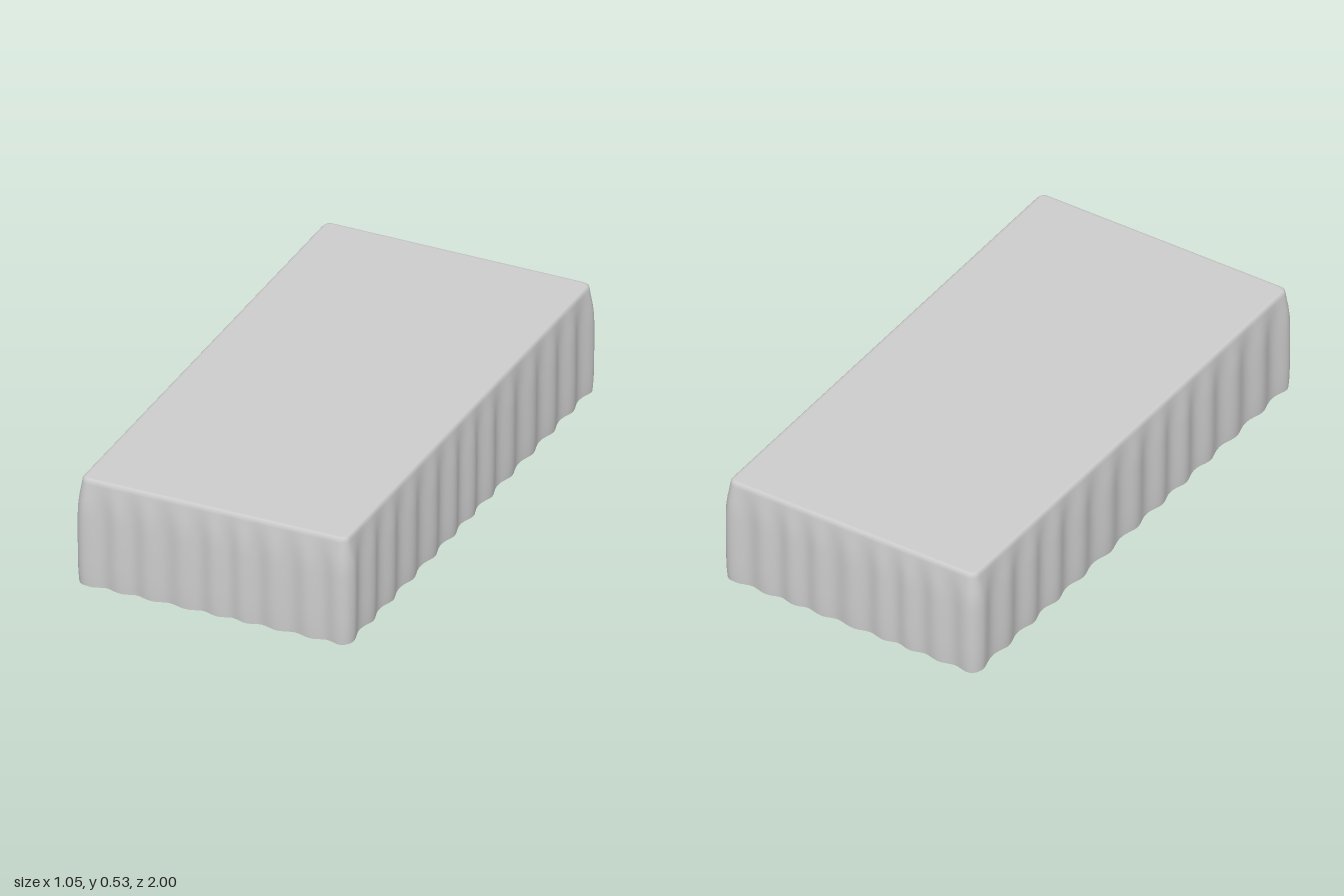
import * as THREE from 'three';

const HALF_X = 0.5, HALF_Z = 0.98, CORNER = 0.025;

function createMaterial(side = THREE.FrontSide) {
  return new THREE.MeshStandardMaterial({ color: 0xcccccc, side });
}

// Rounded rectangle outline: position, outward normal and fold value (-1..1) per point
function clothOutline() {
  const points = [];
  const sides = [
    { angle: 0, half: HALF_Z, depth: HALF_X, folds: 12, amp: 0.009 },
    { angle: Math.PI / 2, half: HALF_X, depth: HALF_Z, folds: 8, amp: 0.006 },
    { angle: Math.PI, half: HALF_Z, depth: HALF_X, folds: 12, amp: 0.009 },
    { angle: Math.PI * 1.5, half: HALF_X, depth: HALF_Z, folds: 8, amp: 0.006 },
  ];
  sides.forEach(({ angle, half, depth, folds, amp }, s) => {
    const nx = Math.cos(angle), nz = Math.sin(angle);
    const run = half - CORNER, steps = folds * 12;
    for (let i = 0; i <= steps; i++) {
      const t = i / steps, along = (t * 2 - 1) * run;
      // slightly uneven spacing keeps the pleats from looking mechanical
      const phase = t * folds * Math.PI * 2 + 0.5 * Math.sin(t * Math.PI * 4 + s) * Math.sin(t * Math.PI);
      points.push({
        x: nx * depth - nz * along, z: nz * depth + nx * along,
        nx, nz, fold: amp * Math.cos(phase), phase,
      });
    }
    // corner arc up to the next side
    const px = nx * (depth - CORNER) - nz * run, pz = nz * (depth - CORNER) + nx * run;
    for (let i = 1; i < 6; i++) {
      const a = angle + (i / 6) * Math.PI / 2;
      const cx = Math.cos(a), cz = Math.sin(a);
      points.push({
        x: px + cx * CORNER, z: pz + cz * CORNER,
        nx: cx, nz: cz, fold: 0.007, phase: 0,
      });
    }
  });
  return points;
}

// Draped cloth: flat top, soft rim and pleated skirt with a wavy hem
function createCloth() {
  // outset, height, fold strength
  const rings = [
    [-0.012, 0.53, 0], [-0.003, 0.529, 0], [0.003, 0.523, 0], [0.005, 0.512, 0.05],
    [0.008, 0.485, 0.25], [0.011, 0.455, 0.6], [0.013, 0.42, 0.9], [0.014, 0.38, 1],
    [0.014, 0.3, 1], [0.013, 0.22, 1], [0.012, 0.16, 0.95], [0.009, 0.118, 0.85],
  ];
  const outline = clothOutline(), n = outline.length;
  const positions = [0, 0.53, 0], index = [];
  rings.forEach(([outset, height, strength], r) => {
    outline.forEach((p) => {
      const d = outset + p.fold * strength;
      const hem = r === rings.length - 1 ? 0.003 * Math.sin(p.phase) : 0;
      positions.push(p.x + p.nx * d, height + hem, p.z + p.nz * d);
    });
  });
  for (let i = 0; i < n; i++) {
    const j = (i + 1) % n;
    index.push(0, 1 + j, 1 + i);
    for (let r = 0; r < rings.length - 1; r++) {
      const a = 1 + r * n, b = a + n;
      index.push(a + i, a + j, b + i, a + j, b + j, b + i);
    }
  }
  const geometry = new THREE.BufferGeometry();
  geometry.setAttribute('position', new THREE.Float32BufferAttribute(positions, 3));
  geometry.setIndex(index);
  geometry.computeVertexNormals();
  return geometry;
}

// Table board with rounded corners
function createBoard(bottom, top) {
  const x = HALF_X - 0.01, z = HALF_Z - 0.01, r = 0.06;
  const shape = new THREE.Shape();
  shape.absarc(x - r, z - r, r, 0, Math.PI / 2);
  shape.absarc(-x + r, z - r, r, Math.PI / 2, Math.PI);
  shape.absarc(-x + r, -z + r, r, Math.PI, Math.PI * 1.5);
  shape.absarc(x - r, -z + r, r, Math.PI * 1.5, Math.PI * 2);
  const geometry = new THREE.ExtrudeGeometry(shape, { depth: top - bottom, bevelEnabled: false, curveSegments: 8 });
  return geometry.rotateX(-Math.PI / 2).translate(0, bottom, 0);
}

// Open shallow dome, rim at y = 0
function createDome(radius, height) {
  const profile = [];
  for (let i = 0; i <= 16; i++) {
    const a = (i / 16) * Math.PI / 2;
    profile.push(new THREE.Vector2(radius * Math.cos(a), height * Math.sin(a)));
  }
  return new THREE.LatheGeometry(profile, 64);
}

export function createModel() {
  const model = new THREE.Group();
  model.name = 'clothedPedestalTable';
  const add = (name, geometry, side) => {
    const mesh = new THREE.Mesh(geometry, createMaterial(side));
    mesh.name = name;
    model.add(mesh);
    return mesh;
  };

  add('tablecloth', createCloth(), THREE.DoubleSide);
  add('tableBoard', createBoard(0.435, 0.522));
  add('pedestalBase', createDome(0.226, 0.086), THREE.DoubleSide);
  add('pedestalStem', new THREE.CylinderGeometry(0.038, 0.038, 0.36, 32).translate(0, 0.257, 0));

  // Flange under the board: an upturned dome
  const flange = add('topFlange', createDome(0.11, 0.03), THREE.DoubleSide);
  flange.rotation.x = Math.PI;
  flange.position.y = 0.435;

  return model;
}
